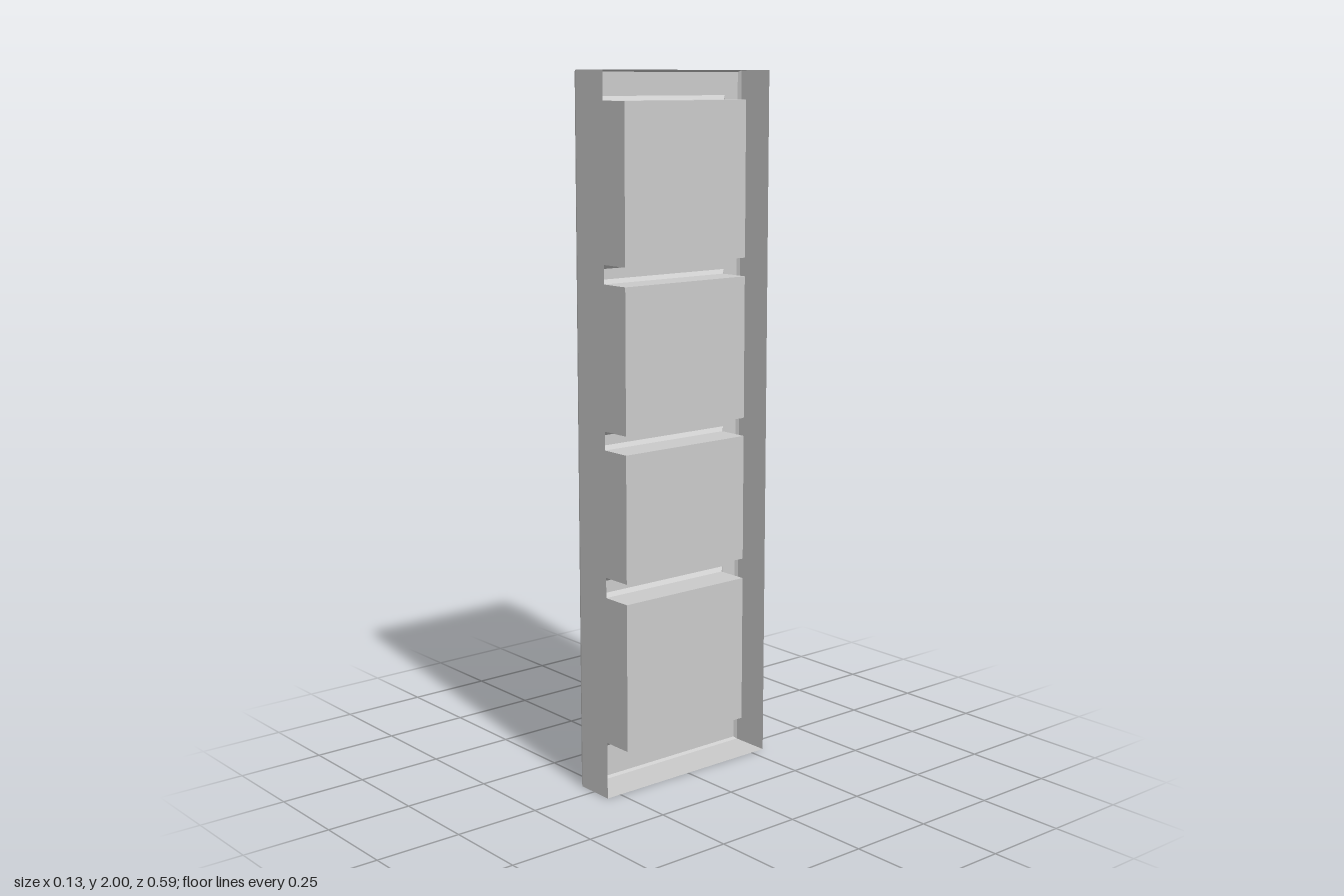
import * as THREE from 'three';

const material = new THREE.MeshStandardMaterial({
  color: 0xcccccc, flatShading: true, side: THREE.DoubleSide,
});

// Layout: thin hollow panel, recessed face towards -x, open towards +x
const FACE = -0.063, BEVEL = -0.053, REAR = 0.063, POCKET_BACK = 0.04;
const LIP = 0.012;
const OUTER = { z0: -0.295, z1: 0.295, y0: 0, y1: 2 };
const POCKET_Z = [-0.241, 0.217];
const POCKET_Y = [[0.096, 0.551], [0.586, 0.976], [1.005, 1.438], [1.467, 1.931]];

const inset = (r, d) => ({ z0: r.z0 + d, z1: r.z1 - d, y0: r.y0 + d, y1: r.y1 - d });
const corners = (r) => [[r.z0, r.y0], [r.z1, r.y0], [r.z1, r.y1], [r.z0, r.y1]];

// Walls through a series of [x, rectangle] sections, optionally closed at the end
function rectLoft(sections, closed) {
  const pos = [];
  const quad = (a, b, c, d) => pos.push(...a, ...b, ...c, ...a, ...c, ...d);
  const loops = sections.map(([x, r]) => corners(r).map(([z, y]) => [x, y, z]));
  for (let s = 0; s < loops.length - 1; s++) {
    for (let i = 0; i < 4; i++) {
      const j = (i + 1) % 4;
      quad(loops[s][i], loops[s + 1][i], loops[s + 1][j], loops[s][j]);
    }
  }
  if (closed) {
    const [a, b, c, d] = loops[loops.length - 1];
    quad(a, d, c, b);
  }
  const geometry = new THREE.BufferGeometry();
  geometry.setAttribute('position', new THREE.Float32BufferAttribute(pos, 3));
  geometry.computeVertexNormals();
  return geometry;
}

function add(group, name, geometry) {
  const mesh = new THREE.Mesh(geometry, material);
  mesh.name = name;
  group.add(mesh);
}

export function createModel() {
  const group = new THREE.Group();
  group.name = 'recessedPanel';
  const faceRect = inset(OUTER, 0.005);
  const pockets = POCKET_Y.map(([y0, y1]) => ({ z0: POCKET_Z[0], z1: POCKET_Z[1], y0, y1 }));

  // Face plate with four openings
  const toPoints = (r) => corners(r).map(([z, y]) => new THREE.Vector2(z, y));
  const shape = new THREE.Shape(toPoints(faceRect));
  for (const p of pockets) shape.holes.push(new THREE.Path(toPoints(p).reverse()));
  const plate = new THREE.ShapeGeometry(shape);
  plate.rotateY(-Math.PI / 2);
  plate.translate(FACE, 0, 0);
  add(group, 'facePlate', plate);

  // Thin outer walls with a bevelled face edge
  add(group, 'outerWalls', rectLoft([[FACE, faceRect], [BEVEL, OUTER], [REAR, OUTER]], false));

  // Recessed pockets with bevelled lips
  pockets.forEach((p, i) => {
    const inner = inset(p, LIP);
    add(group, `pocket${i + 1}`,
      rectLoft([[FACE, p], [BEVEL, inner], [POCKET_BACK, inner]], true));
  });
  return group;
}
